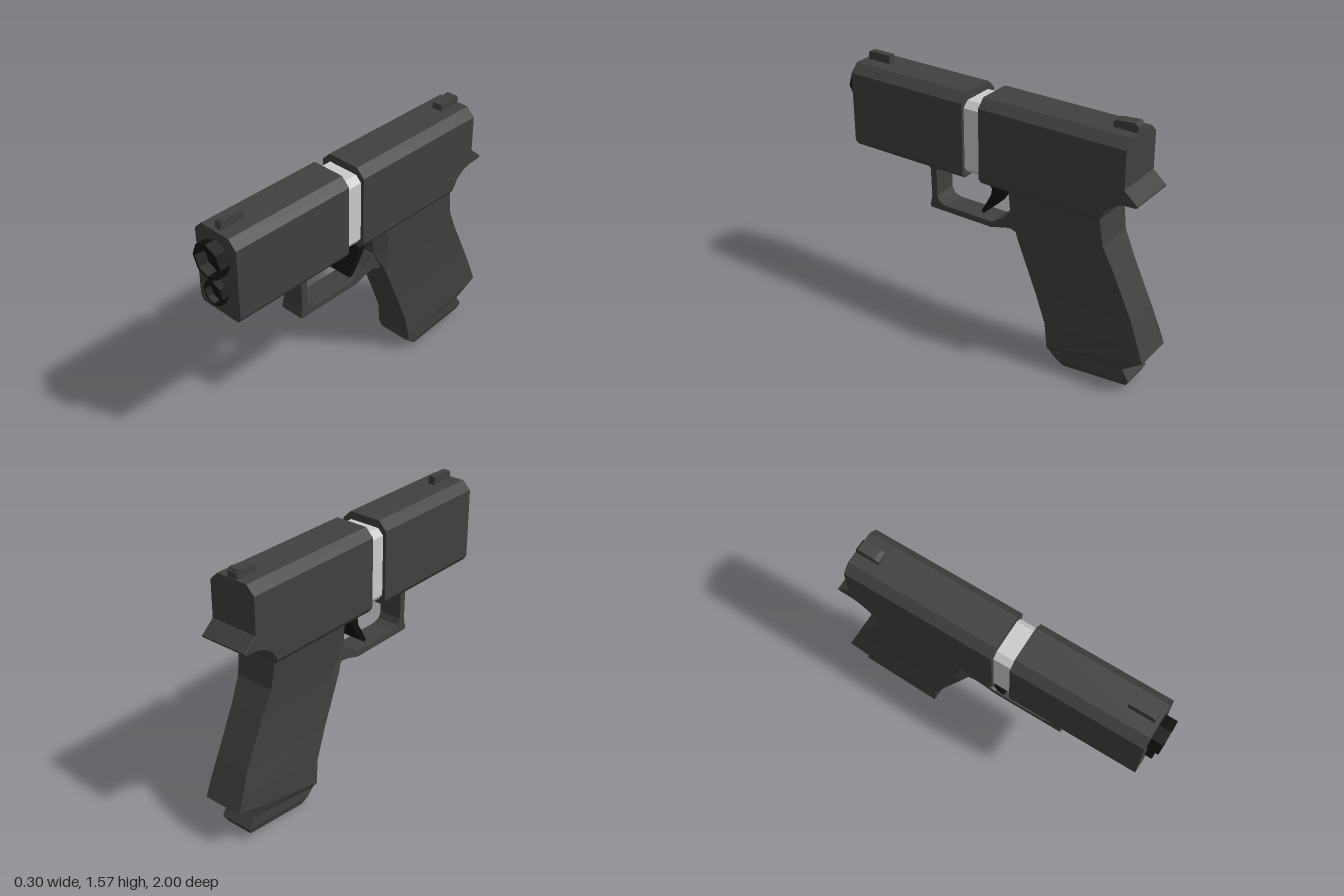
import * as THREE from 'three';

const mat = (color) => new THREE.MeshStandardMaterial({ color, flatShading: true });
const DARK = mat(0x404040), BLACK = mat(0x101010), LIGHT = mat(0xcccccc);

function add(group, name, geometry, material) {
  const mesh = new THREE.Mesh(geometry, material);
  mesh.name = name;
  group.add(mesh);
  return mesh;
}

// Skin a list of equal-length rings and close both ends
function loft(rings) {
  const pos = [];
  const tri = (...pts) => pts.forEach((p) => pos.push(...p));
  const centre = (r) => [0, 1, 2].map((k) => r.reduce((s, p) => s + p[k], 0) / r.length);
  const n = rings[0].length, last = rings[rings.length - 1];
  const c0 = centre(rings[0]), c1 = centre(last);
  for (let i = 0; i < n; i++) {
    const j = (i + 1) % n;
    for (let k = 0; k < rings.length - 1; k++) {
      const a = rings[k], b = rings[k + 1];
      tri(a[i], b[i], a[j]);
      tri(a[j], b[i], b[j]);
    }
    tri(c0, rings[0][i], rings[0][j]);
    tri(c1, last[j], last[i]);
  }
  const g = new THREE.BufferGeometry();
  g.setAttribute('position', new THREE.Float32BufferAttribute(pos, 3));
  g.computeVertexNormals();
  return g;
}

// Eight-cornered upright section at depth z, chamfered at top and bottom
function section(z, bottom, top, w = 0.15, topCut = 0.05, lowCut = 0.02) {
  const low = lowCut * 1.5;
  const right = [[w - lowCut, bottom], [w, bottom + low], [w, top - topCut], [w - topCut, top]];
  const left = right.map(([x, y]) => [-x, y]).reverse();
  return [...right, ...left].map(([x, y]) => [x, y, z]);
}

// Level-ish section of the grip: front and back (z, y), half widths of front and body
function gripRing([zf, yf], [zb, yb], front, w, back = w) {
  const t = 0.12, zm = zf + (zb - zf) * t, ym = yf + (yb - yf) * t;
  const right = [[front, yf, zf], [w, ym, zm], [back, yb, zb]];
  return [...right, ...right.map(([x, y, z]) => [-x, y, z]).reverse()];
}

// Side outline of (z, y) points given a width across x
function plate(points, width) {
  const shape = new THREE.Shape(points.map(([z, y]) => new THREE.Vector2(z, y)));
  return new THREE.ExtrudeGeometry(shape, { depth: width, bevelEnabled: false })
    .translate(0, 0, -width / 2).rotateY(-Math.PI / 2);
}

// Eight-sided tube facing +z with a shallow recess
function muzzle(radius, y, front) {
  const pts = [[radius, 0.9], [radius, front], [radius * 0.86, front], [radius * 0.8, 0.94], [0, 0.94]];
  return new THREE.LatheGeometry(pts.map(([r, z]) => new THREE.Vector2(r, z)), 8)
    .rotateX(Math.PI / 2).translate(0, y, 0);
}

export function createModel() {
  const model = new THREE.Group();
  model.name = 'pistol';

  // Upper body: front block, light band in the gap, rear block
  add(model, 'frontBody', loft([section(0.935, 1.03, 1.525), section(0.16, 1.03, 1.525)]), DARK);
  add(model, 'lightBand', loft([
    section(0.17, 1.06, 1.48, 0.13, 0.035), section(0.04, 1.06, 1.48, 0.13, 0.035),
  ]), LIGHT);
  add(model, 'rearBody', loft([
    section(0.05, 1.03, 1.525),
    section(-0.7, 1.03, 1.525),
    section(-0.74, 1.11, 1.525, 0.15, 0.05, 0.01),
    section(-0.8, 1.155, 1.525, 0.15, 0.05, 0.005),
    section(-0.85, 1.172, 1.525, 0.15, 0.05, 0.003),
    section(-0.851, 1.172, 1.26, 0.15, 0.002, 0.002),
    section(-0.92, 1.175, 1.2, 0.15, 0.002, 0.002),
    section(-0.93, 1.183, 1.192, 0.15, 0.002, 0.002),
  ]), DARK);

  // Openings at the front
  add(model, 'barrel', muzzle(0.103, 1.372, 1), BLACK);
  add(model, 'guideRod', muzzle(0.073, 1.165, 0.975), BLACK);

  // Sights
  add(model, 'frontSight', plate([
    [0.76, 1.51], [0.915, 1.51], [0.91, 1.565], [0.9, 1.575], [0.76, 1.575],
  ], 0.04), DARK);
  add(model, 'rearSight', plate([
    [-0.845, 1.51], [-0.7, 1.51], [-0.705, 1.56], [-0.73, 1.567], [-0.83, 1.575], [-0.845, 1.555],
  ], 0.064), DARK);

  // Grip, ending in a lip with an undercut
  add(model, 'grip', loft([
    gripRing([-0.09, 1.06], [-0.7, 1.06], 0.075, 0.13),
    gripRing([-0.11, 0.88], [-0.725, 0.88], 0.08, 0.12),
    gripRing([-0.18, 0.74], [-0.79, 0.74], 0.108, 0.11),
    gripRing([-0.3, 0.445], [-0.915, 0.47], 0.108, 0.11),
    gripRing([-0.37, 0.26], [-0.965, 0.34], 0.112, 0.12),
    gripRing([-0.392, 0.115], [-1, 0.245], 0.122, 0.122),
    gripRing([-0.395, 0.085], [-0.87, 0.145], 0.1, 0.1),
  ]), DARK);
  add(model, 'magazineBase', loft([
    gripRing([-0.394, 0.1], [-0.86, 0.155], 0.1, 0.1),
    gripRing([-0.396, 0.084], [-0.87, 0.145], 0.1, 0.1),
    gripRing([-0.445, 0.04], [-0.91, 0.08], 0.1, 0.1),
    gripRing([-0.485, 0.004], [-0.89, 0.04], 0.087, 0.087),
  ]), DARK);

  // Trigger guard: outer edge down and back, inner edge forward and up
  add(model, 'triggerGuard', plate([
    [0.53, 1.04], [0.53, 1.03], [0.445, 0.985], [0.44, 0.81], [0.453, 0.75], [0.448, 0.735],
    [0.02, 0.735], [-0.06, 0.76], [-0.11, 0.768], [-0.2, 0.735], [-0.2, 0.88], [-0.105, 0.87],
    [-0.05, 0.81], [0.02, 0.77], [0.34, 0.77], [0.385, 0.785], [0.403, 0.82], [0.403, 0.985],
    [0.31, 1.03], [0.31, 1.04],
  ], 0.145), DARK);

  // Trigger
  add(model, 'trigger', plate([
    [0.055, 1.04], [0.053, 1.025], [0.012, 0.98], [0.02, 0.94], [0.087, 0.82], [0.07, 0.812],
    [0.035, 0.845], [-0.02, 0.93], [-0.06, 1.0], [-0.08, 1.04],
  ], 0.155), BLACK);

  return model;
}
